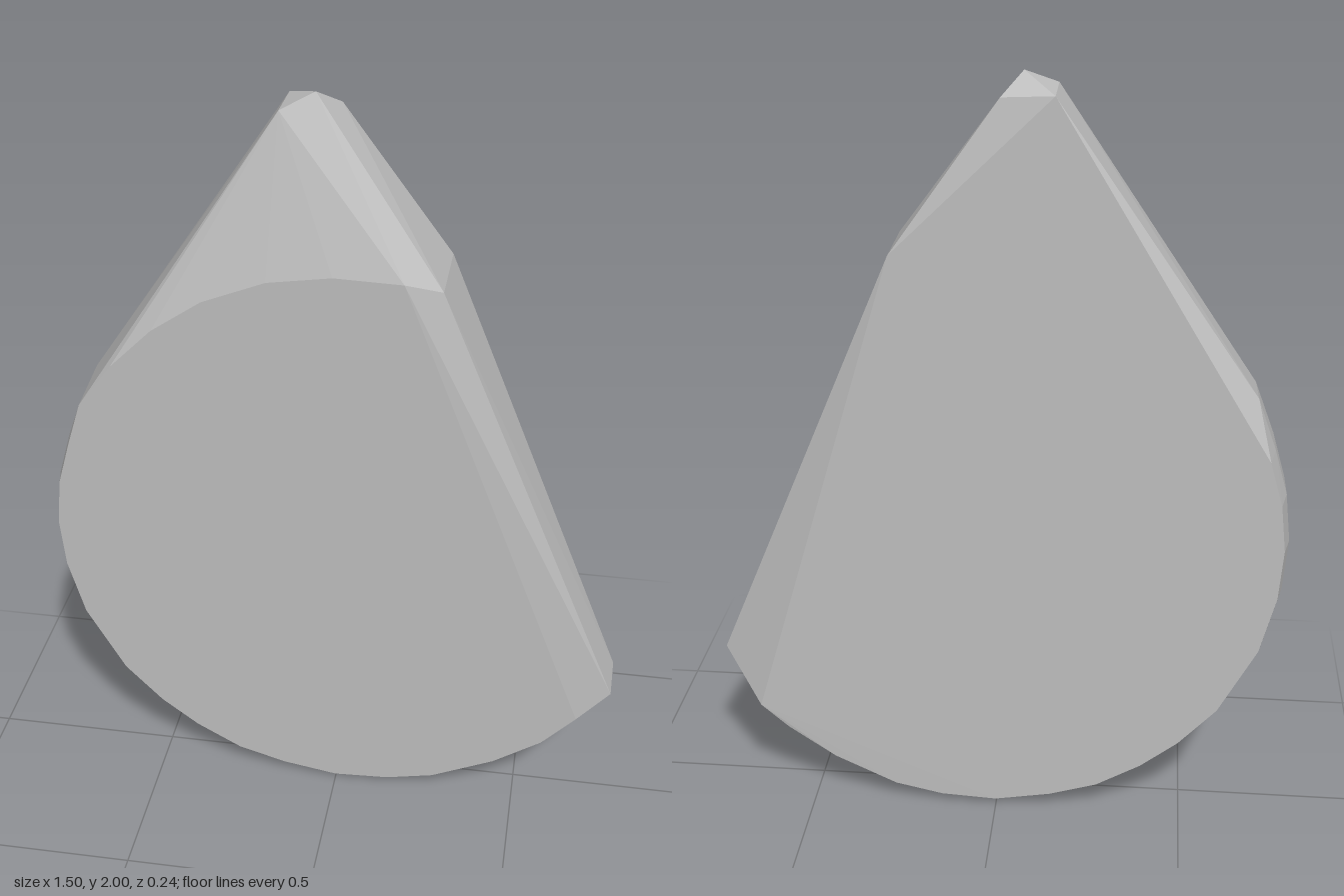
import * as THREE from 'three';
import { ConvexGeometry } from 'three/addons/geometries/ConvexGeometry.js';

// Faceted flat stone: the convex skin around a few rings of corners.
export function createModel() {
  const group = new THREE.Group();
  const stone = new THREE.MeshStandardMaterial({ color: 0xbfbfbf });
  stone.name = 'stone grey';
  const points = [];
  const add = (x, y, z) => points.push(new THREE.Vector3(x, y, z));

  // rounded rim, from the upper left round the bottom to the lower right
  const rim = [
    [-0.7, 1.07], [-0.735, 0.95], [-0.75, 0.82], [-0.74, 0.68], [-0.7, 0.52],
    [-0.6, 0.33], [-0.5, 0.22], [-0.4, 0.14], [-0.28, 0.07], [-0.15, 0.03],
    [0, 0.004], [0.15, 0.012], [0.28, 0.04], [0.45, 0.12], [0.58, 0.21], [0.67, 0.31],
  ];
  const frontZ = (y) => 0.09 + 0.018 * y;
  for (const [x, y] of rim) {
    // middle band
    add(x, y, 0.06);
    add(x, y, -0.05);
    // front edge, slightly inset
    add(x * 0.985, 0.8 + (y - 0.8) * 0.985, frontZ(y));
    // back edge, on the left and along the bottom
    if (x < 0.6) add(x * 0.98, 0.8 + (y - 0.8) * 0.975, -0.118);
  }

  // curved upper edge of the front face
  for (const [x, y] of [[-0.65, 1.19], [-0.56, 1.31], [-0.45, 1.42], [-0.32, 1.51],
    [-0.16, 1.575], [0, 1.6], [0.17, 1.595]]) add(x, y, frontZ(y));
  add(-0.65, 1.21, -0.06);

  // straight right side
  add(0.26, 1.57, 0.092);
  add(0.26, 1.57, -0.12);
  add(0.745, 0.41, 0.086);
  add(0.748, 0.42, -0.035);
  add(0.64, 0.29, -0.12);

  // blunt tip
  add(-0.06, 2, -0.02);
  add(-0.14, 1.965, 0.02);
  add(-0.14, 1.96, -0.12);
  add(-0.01, 1.95, -0.097);

  const body = new THREE.Mesh(new ConvexGeometry(points), stone);
  body.name = 'stoneBody';
  group.add(body);
  return group;
}
